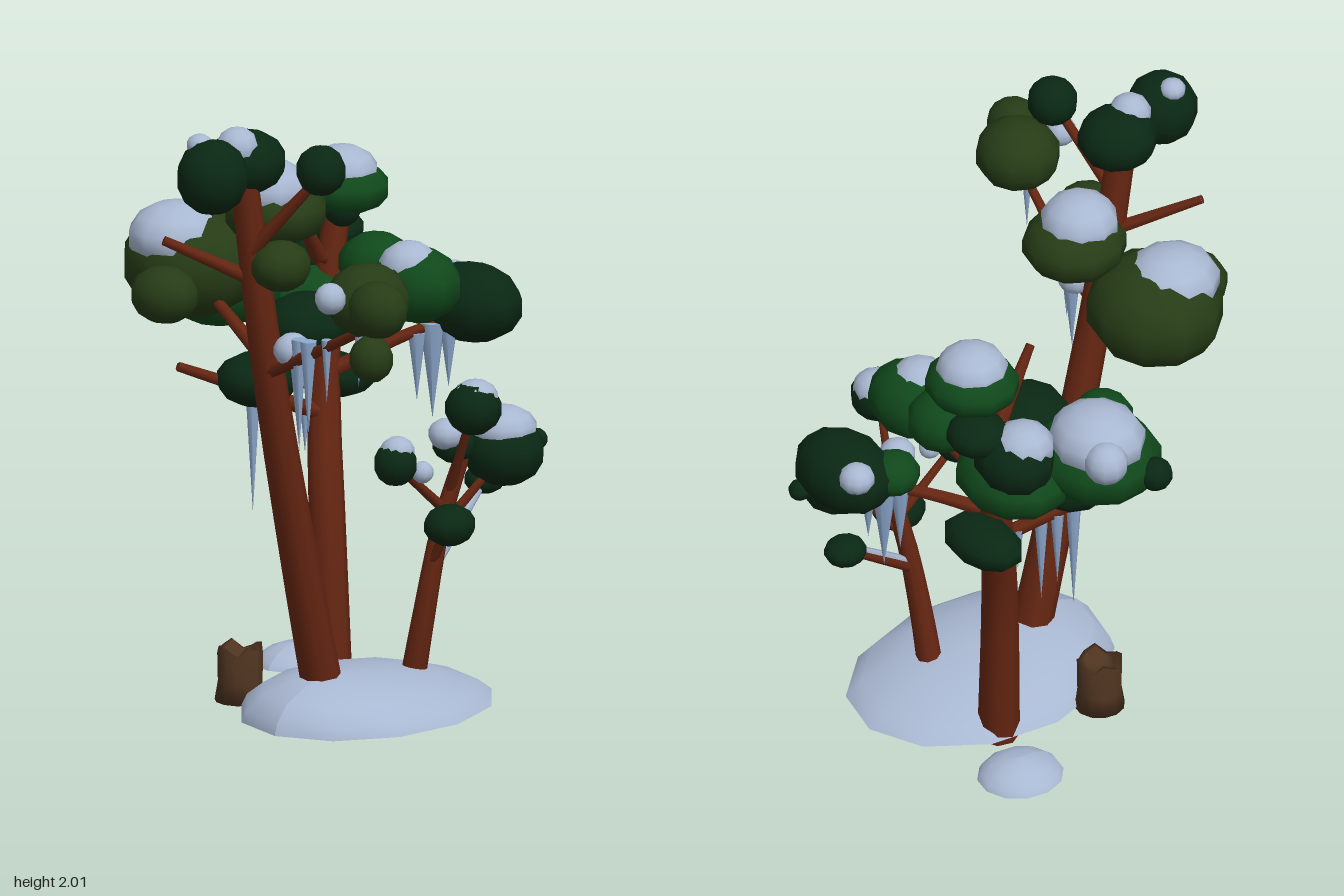
import * as THREE from 'three';

const mat = (color) => new THREE.MeshStandardMaterial({ color });
const M = {
  dark: mat(0x0a2814), green: mat(0x10481b), olive: mat(0x263c16),
  snow: mat(0xa9b8d2), ice: mat(0x8fabd0), bark: mat(0x662612), oldBark: mat(0x4f3420)
};
// Open shell, seen from below as well
const moundSnow = mat(0xa9b8d2);
moundSnow.side = THREE.DoubleSide;
const V = (p) => new THREE.Vector3(...p);

export function createModel() {
  const root = new THREE.Group();
  root.name = 'snowyTrees';

  const add = (parent, name, geo, material) => {
    const m = new THREE.Mesh(geo, material);
    m.name = name;
    parent.add(m);
    return m;
  };

  // Tapered, capped limb through a list of points
  const limb = (parent, name, pts, r0, r1, material = M.bark, sides = 8) => {
    const curve = new THREE.CatmullRomCurve3(pts.map(V));
    const n = pts.length > 2 ? 8 : 2;
    const geo = new THREE.TubeGeometry(curve, n, 1, sides);
    const pos = geo.attributes.position, v = new THREE.Vector3();
    for (let i = 0; i < pos.count; i++) {
      const t = Math.floor(i / (sides + 1)) / n;
      const c = curve.getPointAt(t);
      v.fromBufferAttribute(pos, i).sub(c).multiplyScalar(r0 + (r1 - r0) * t).add(c);
      pos.setXYZ(i, v.x, v.y, v.z);
    }
    add(parent, name, geo, material);
    for (const [t, r, s] of [[0, r0, -1], [1, r1, 1]]) {
      const cap = add(parent, name + 'End', new THREE.CircleGeometry(r, sides), material);
      cap.position.copy(curve.getPointAt(t));
      cap.quaternion.setFromUnitVectors(new THREE.Vector3(0, 0, 1), curve.getTangentAt(t).multiplyScalar(s));
    }
  };

  // Rounded low-poly clumps: [x, y, z, rx, ry, rz]
  const clumpGeo = new THREE.SphereGeometry(1, 10, 7);
  const clumps = (parent, name, material, list) => list.forEach(([x, y, z, rx, ry = rx, rz = rx], i) => {
    const m = add(parent, name, clumpGeo, material);
    m.position.set(x, y, z);
    m.scale.set(rx, ry, rz);
    m.rotation.y = i * 0.7 * (rx === rz ? 1 : 0);
  });

  // Icicles hanging from a point: [x, topY, z, length, radius]
  const iceGeo = new THREE.ConeGeometry(1, 1, 6).rotateX(Math.PI).translate(0, -0.5, 0);
  const icicles = (parent, list) => list.forEach(([x, y, z, len, r = 0.018]) => {
    const m = add(parent, 'icicle', iceGeo, M.ice);
    m.position.set(x, y, z);
    m.scale.set(r, len, r);
  });

  const group = (name) => {
    const g = new THREE.Group();
    g.name = name;
    root.add(g);
    return g;
  };

  // Snow mounds: open shells with gently sloping sides and a shifted peak
  const ground = group('ground');
  const mound = (x, z, rx, h, rz, peakShift) => {
    const geo = new THREE.SphereGeometry(1, 12, 4, 0, Math.PI * 2, 0, Math.PI / 2);
    const pos = geo.attributes.position;
    for (let i = 0; i < pos.count; i++) {
      const y = Math.max(0, pos.getY(i));
      pos.setXYZ(i, pos.getX(i) * rx + peakShift * y * y, h * y ** 1.35, pos.getZ(i) * rz);
    }
    geo.computeVertexNormals();
    add(ground, 'snowMound', geo, moundSnow).position.set(x, 0.027, z);
  };
  mound(0.01, 0.13, 0.46, 0.142, 0.36, -0.15);
  mound(0.28, -0.36, 0.14, 0.065, 0.13, 0);

  // Broken stump: ragged rim over a hollow top
  const stump = group('stump');
  const profile = [[0, 0.02], [0.08, 0.02], [0.07, 0.08], [0.072, 0.18], [0.055, 0.18], [0.045, 0.15], [0, 0.15]];
  const stumpGeo = new THREE.LatheGeometry(profile.map((p) => new THREE.Vector2(...p)), 12);
  const sp = stumpGeo.attributes.position;
  for (let i = 0; i < sp.count; i++) {
    if (sp.getY(i) > 0.17) sp.setY(i, 0.185 + 0.018 * Math.sin(Math.atan2(sp.getZ(i), sp.getX(i)) * 4));
  }
  stumpGeo.computeVertexNormals();
  add(stump, 'stumpBody', stumpGeo, M.oldBark);
  stump.position.set(-0.16, 0, -0.235);

  // Tall leaning tree
  const tall = group('tallTree');
  limb(tall, 'trunk', [[-0.15, 0.01, 0.105], [-0.3, 0.6, 0.1], [-0.445, 1.2, 0.1], [-0.54, 1.82, 0.08]], 0.066, 0.044);
  const tallBranches = [
    [[-0.53, 1.6, 0.1], [-0.47, 1.86, 0.32]],
    [[-0.46, 1.2, 0.12], [-0.5, 1.3, 0.32], [-0.56, 1.43, 0.57]],
    [[-0.5, 1.5, 0.08], [-0.69, 1.63, -0.12]],
    [[-0.47, 1.36, 0.08], [-0.36, 1.48, 0], [-0.24, 1.62, -0.05]],
    [[-0.46, 1.25, 0.08], [-0.4, 1.42, -0.2]]
  ];
  tallBranches.forEach((p) => limb(tall, 'branch', p, 0.024, 0.015, M.bark, 6));
  clumps(tall, 'darkFoliage', M.dark, [
    [-0.7, 1.87, 0.08, 0.115, 0.12, 0.115], [-0.49, 1.87, 0.05, 0.13, 0.1, 0.125],
    [-0.46, 1.88, 0.32, 0.08]
  ]);
  clumps(tall, 'oliveFoliage', M.olive, [
    [-0.23, 1.64, -0.04, 0.168, 0.105, 0.165],
    [-0.53, 1.52, 0.56, 0.135, 0.115, 0.135], [-0.62, 1.525, 0.67, 0.088, 0.09, 0.1],
    [-0.64, 1.37, 0.66, 0.07, 0.075, 0.07], [-0.47, 1.55, 0.17, 0.1, 0.08, 0.095],
    [-0.35, 1.465, -0.28, 0.215, 0.175, 0.225], [-0.585, 1.42, -0.2, 0.1, 0.09, 0.115]
  ]);
  clumps(tall, 'snowCap', M.snow, [
    [-0.55, 1.93, 0.06, 0.068, 0.065], [-0.7, 1.965, 0.03, 0.042, 0.035], [-0.68, 1.55, 0.53, 0.05],
    [-0.4, 1.555, -0.3, 0.16, 0.11, 0.15], [-0.25, 1.71, -0.04, 0.125, 0.1, 0.125],
    [-0.45, 1.28, 0.2, 0.06, 0.055], [-0.41, 1.46, 0.03, 0.045]
  ]);
  icicles(tall, [
    [-0.46, 1.28, 0.23, 0.28, 0.03], [-0.48, 1.33, 0.25, 0.36, 0.026], [-0.51, 1.34, 0.31, 0.3, 0.028],
    [-0.52, 1.36, 0.39, 0.2], [-0.55, 1.41, 0.54, 0.17, 0.014], [-0.4, 1.45, 0.03, 0.22], [-0.37, 1.48, 0.01, 0.16],
    [-0.42, 1.42, 0.07, 0.2]
  ]);

  // Bent tree with the broad crown
  const bent = group('bentTree');
  limb(bent, 'trunk', [[0.165, 0.01, -0.13], [0.205, 0.56, -0.18], [0.285, 0.92, -0.255], [0.34, 1.25, -0.28], [0.39, 1.5, -0.28]], 0.066, 0.042);
  const bentBranches = [
    [[0.29, 1.34, -0.28], [0.14, 1.54, -0.25]],
    [[0.26, 0.85, -0.23], [-0.16, 1.05, -0.48]],
    [[0.29, 0.97, -0.25], [0.44, 1.05, -0.14], [0.64, 1.13, 0]],
    [[0.31, 1.05, -0.27], [0.2, 1.15, -0.45]],
    [[0.33, 1.12, -0.27], [0.38, 1.25, 0]],
    [[0.36, 1.3, -0.28], [0.28, 1.36, -0.28]]
  ];
  bentBranches.forEach((p) => limb(bent, 'branch', p, 0.027, 0.015, M.bark, 6));
  clumps(bent, 'greenFoliage', M.green, [
    [0.41, 1.54, -0.28, 0.148, 0.085, 0.155], [0.11, 1.25, -0.53, 0.2, 0.125, 0.21],
    [0.33, 1.2, -0.38, 0.17, 0.11, 0.2], [0.4, 1.32, -0.14, 0.12, 0.1, 0.12],
    [-0.02, 1.3, -0.42, 0.08, 0.065, 0.1], [0.57, 1.17, -0.09, 0.09, 0.07, 0.085],
    [0.37, 1.29, 0.04, 0.135, 0.12, 0.155]
  ]);
  clumps(bent, 'darkFoliage', M.dark, [
    [0.44, 1.39, -0.34, 0.1, 0.065, 0.1], [0.08, 1.19, -0.16, 0.145, 0.1, 0.145],
    [0.02, 1, -0.31, 0.13, 0.085, 0.13], [0.39, 0.94, -0.31, 0.1, 0.07, 0.155],
    [0.67, 1.165, 0.025, 0.138, 0.125, 0.18], [0.04, 1.25, -0.72, 0.055],
    [0.37, 1.31, -0.43, 0.12, 0.11, 0.14], [0.36, 1.49, -0.24, 0.06]
  ]);
  clumps(bent, 'snowCap', M.snow, [
    [0.41, 1.59, -0.28, 0.115, 0.085], [0.13, 1.34, -0.55, 0.15, 0.11, 0.16], [0.2, 1.34, -0.67, 0.07],
    [0.35, 1.36, -0.45, 0.1, 0.08], [0.35, 1.35, 0.03, 0.095, 0.08], [0.72, 1.22, -0.09, 0.058, 0.05]
  ]);
  icicles(bent, [
    [0.57, 1.11, -0.05, 0.31, 0.042], [0.53, 1.08, -0.08, 0.22, 0.03], [0.6, 1.1, -0.01, 0.2, 0.03],
    [0.05, 0.94, -0.35, 0.38, 0.024], [0.1, 0.92, -0.33, 0.26, 0.022], [0.14, 0.9, -0.3, 0.3, 0.022], [0.21, 0.88, -0.27, 0.15]
  ]);

  // Small sapling at the front
  const sapling = group('sapling');
  limb(sapling, 'trunk', [[0.16, 0.02, 0.18], [0.17, 0.3, 0.23], [0.21, 0.6, 0.27], [0.27, 0.82, 0.31]], 0.042, 0.024);
  const saplingBranches = [
    [[0.19, 0.45, 0.245], [0.49, 0.67, 0.22]],
    [[0.21, 0.64, 0.28], [0, 0.82, 0.26]],
    [[0.23, 0.68, 0.28], [0.17, 0.98, 0.42]],
    [[0.21, 0.58, 0.27], [0.38, 0.8, 0.38]],
    [[0.18, 0.46, 0.25], [0.16, 0.6, 0.33]]
  ];
  saplingBranches.forEach((p) => limb(sapling, 'branch', p, 0.017, 0.012, M.bark, 6));
  limb(sapling, 'branchSnow', [[0.19, 0.462, 0.256], [0.48, 0.675, 0.23]], 0.02, 0.013, M.snow, 6);
  clumps(sapling, 'darkFoliage', M.dark, [
    [0.38, 0.81, 0.38, 0.128, 0.11, 0.135], [-0.01, 0.83, 0.26, 0.07], [0.16, 0.61, 0.34, 0.088, 0.065, 0.08],
    [0.49, 0.67, 0.22, 0.07, 0.047, 0.065], [0.165, 1, 0.43, 0.09, 0.085, 0.09], [0.52, 0.82, 0.4, 0.035],
    [0.26, 0.84, 0.28, 0.07, 0.06, 0.07]
  ]);
  clumps(sapling, 'snowCap', M.snow, [
    [0.38, 0.88, 0.38, 0.108, 0.075], [0.175, 1.03, 0.43, 0.075, 0.06], [0.22, 0.88, 0.28, 0.058, 0.05],
    [0.32, 0.88, 0.25, 0.04], [0, 0.87, 0.26, 0.055, 0.045], [0.05, 0.8, 0.32, 0.035]
  ]);

  return root;
}
